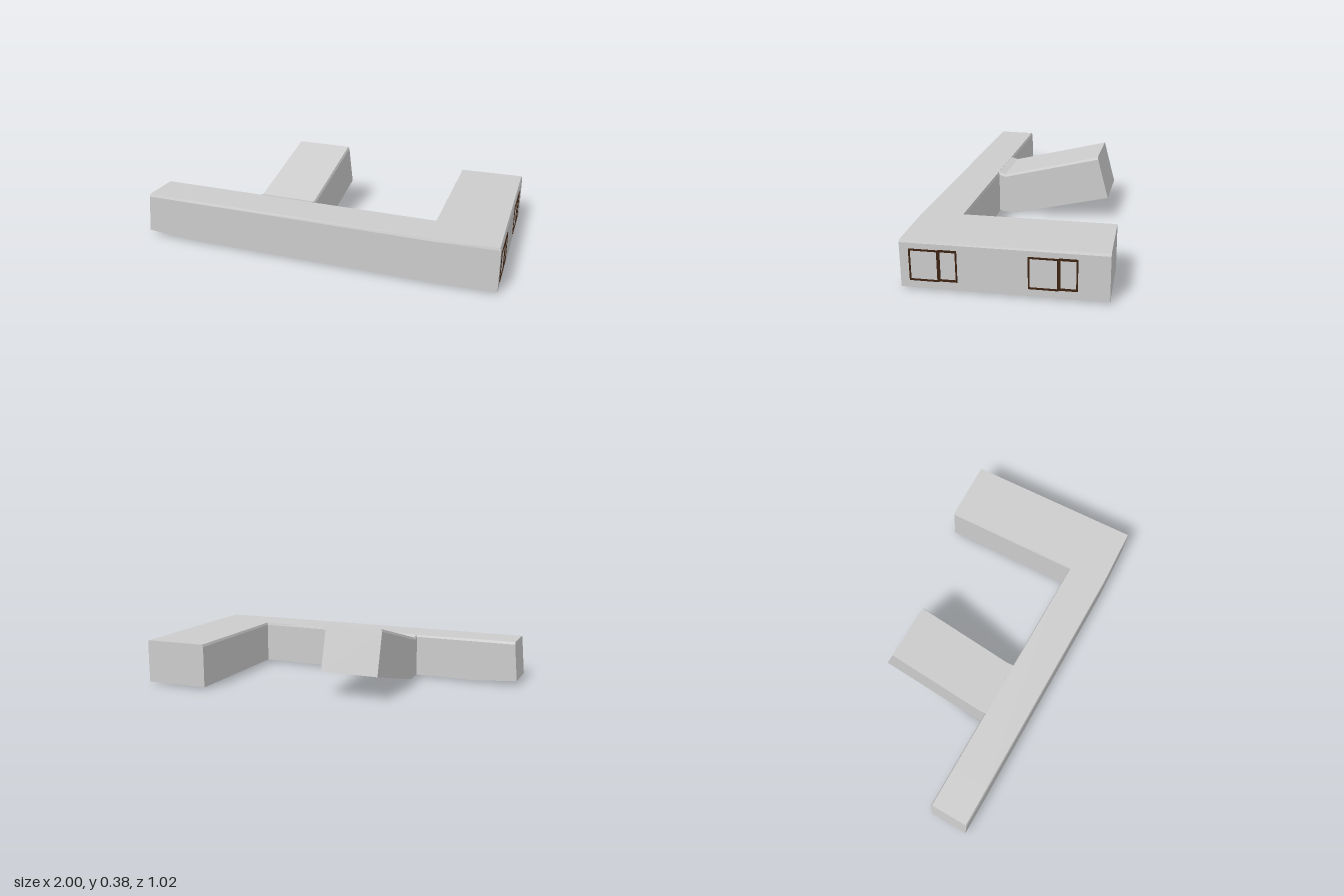
import * as THREE from 'three';

const wall = new THREE.MeshStandardMaterial({ color: 0xcccccc });
wall.name = 'wallGrey';
const brown = new THREE.MeshStandardMaterial({ color: 0x3b2210 });
brown.name = 'frameBrown';

const V = (x, y, z) => new THREE.Vector3(x, y, z);

// Cross-section with small chamfers along both top edges
function section(outerTop, outerBottom, innerTop, innerBottom) {
  const toward = (a, b, d) => a.clone().add(b.clone().sub(a).setLength(d));
  return [
    outerBottom, toward(outerTop, outerBottom, 0.014), toward(outerTop, innerTop, 0.006),
    toward(innerTop, outerTop, 0.006), toward(innerTop, innerBottom, 0.014), innerBottom,
  ];
}

// Skin a row of cross-sections and close both ends, with flat faces
function loft(name, rings) {
  const points = [];
  const tri = (a, b, c) => points.push(a, b, c);
  for (let s = 0; s < rings.length - 1; s++) {
    const a = rings[s], b = rings[s + 1];
    for (let i = 0; i < a.length; i++) {
      const j = (i + 1) % a.length;
      tri(a[i], b[i], b[j]);
      tri(a[i], b[j], a[j]);
    }
  }
  const first = rings[0], last = rings[rings.length - 1];
  for (let i = 1; i < first.length - 1; i++) {
    tri(first[0], first[i], first[i + 1]);
    tri(last[0], last[i + 1], last[i]);
  }
  const geometry = new THREE.BufferGeometry().setFromPoints(points);
  geometry.computeVertexNormals();
  const mesh = new THREE.Mesh(geometry, wall);
  mesh.name = name;
  return mesh;
}

// Window frame of thin bars, lying on the slightly angled side wall
const wallAngle = Math.atan2(0.04, 1.005);
function windowFrame(name, z0) {
  const group = new THREE.Group();
  group.name = name;
  const bar = (za, zb, ya, yb) => {
    const mesh = new THREE.Mesh(new THREE.BoxGeometry(0.007, yb - ya, za - zb), brown);
    const z = z0 - (za + zb) / 2;
    // bar offsets run backwards from the window's front edge
    mesh.position.set(0.975 + 0.0398 * (z + 0.0125), (ya + yb) / 2, z);
    mesh.rotation.y = wallAngle;
    mesh.name = 'frameBar';
    group.add(mesh);
  };
  const pane = (a, b, bottom, top, t) => {
    bar(b, a, bottom, bottom + t);
    bar(b, a, top - t, top);
    bar(a + 0.008, a, bottom + t, top - t);
    bar(b, b - 0.008, bottom + t, top - t);
  };
  pane(0, 0.145, 0.048, 0.212, 0.009);
  pane(0.145, 0.235, 0.052, 0.215, 0.011);
  return group;
}

export function createModel() {
  const model = new THREE.Group();
  const top = 0.255, low = 0.01;

  // L-shaped block: long front bar turning into the side wing
  const upright = (ox, oz, ix, iz) =>
    section(V(ox, top, oz), V(ox, low, oz), V(ix, top, iz), V(ix, low, iz));
  model.add(loft('mainBlock', [
    section(V(-0.98, top, 0.505), V(-1, 0.03, 0.505), V(-0.98, top, 0.285), V(-1, 0.03, 0.285)),
    upright(-0.75, 0.505, -0.75, 0.285),
    upright(0.65, 0.505, 0.4, 0.285),
    upright(0.995, 0.49, 0.62, 0.285),
    upright(0.955, -0.515, 0.59, -0.5),
  ]));

  // Tilted rear wing rising away from the bar
  const tilted = (zt, yt, zb, yb) =>
    section(V(-0.075, yt, zt), V(-0.075, yb, zb), V(-0.4, yt, zt), V(-0.4, yb, zb));
  model.add(loft('tiltedWing', [
    tilted(0.29, 0.254, 0.29, 0.011),
    tilted(0.25, 0.242, 0.19, 0.002),
    tilted(-0.305, 0.385, -0.37, 0.14),
  ]));

  // Two windows on the side wall
  model.add(windowFrame('frontWindow', 0.445), windowFrame('rearWindow', -0.13));
  return model;
}
